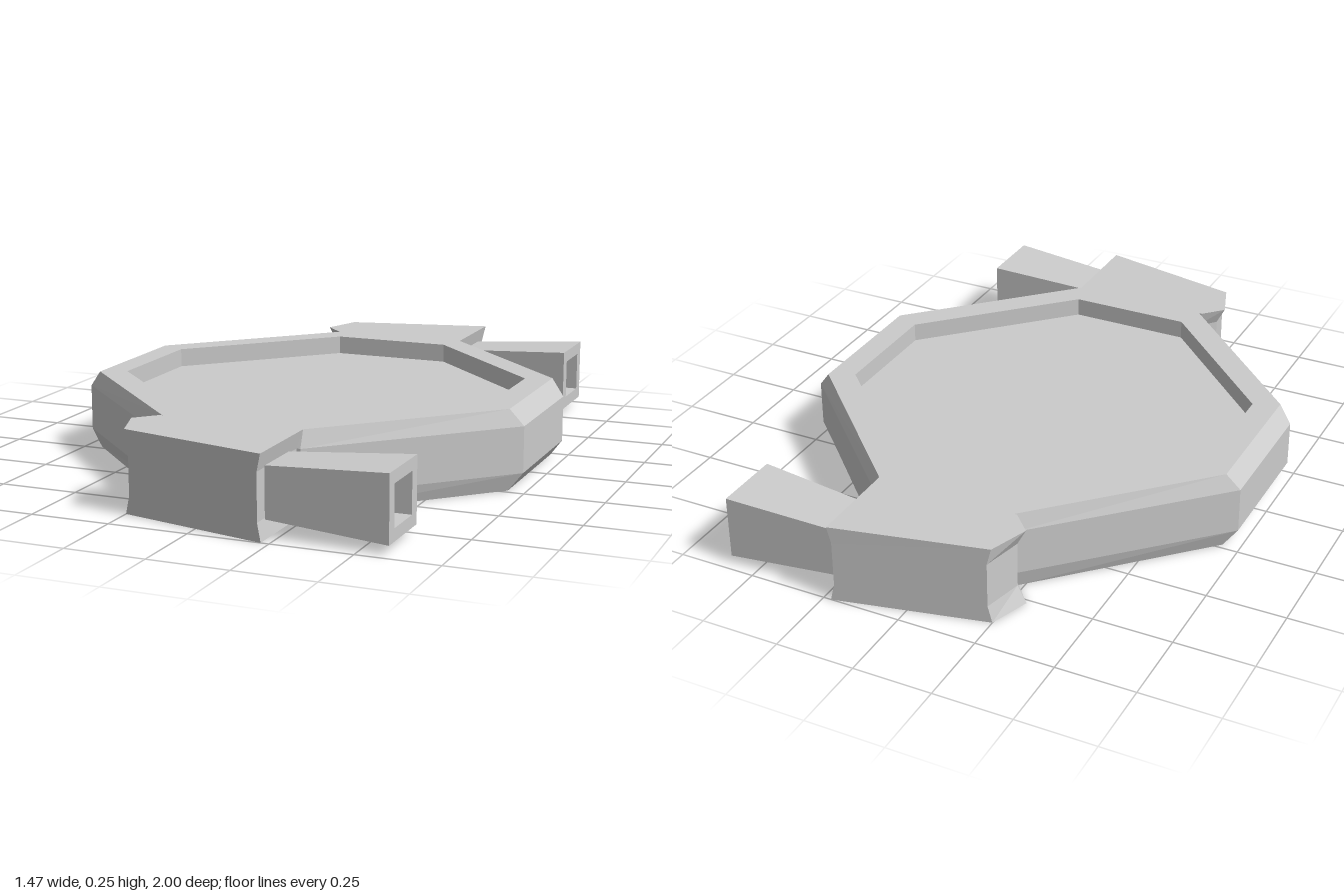
import * as THREE from 'three';

const material = new THREE.MeshStandardMaterial({ color: 0xcccccc, flatShading: true });

// Joins equal-sized rings of [x, y, z] points into a solid capped at both ends.
function loft(name, rings) {
  const pos = [];
  const tri = (a, b, c) => pos.push(...a, ...b, ...c);
  const n = rings[0].length;
  for (let k = 0; k < rings.length - 1; k++) {
    for (let i = 0; i < n; i++) {
      const j = (i + 1) % n;
      const [r, s] = [rings[k], rings[k + 1]];
      tri(r[i], r[j], s[j]);
      tri(r[i], s[j], s[i]);
    }
  }
  const first = rings[0], last = rings[rings.length - 1];
  for (let i = 1; i < n - 1; i++) {
    tri(first[0], first[i + 1], first[i]);
    tri(last[0], last[i], last[i + 1]);
  }
  const geometry = new THREE.BufferGeometry();
  geometry.setAttribute('position', new THREE.Float32BufferAttribute(pos, 3));
  geometry.computeVertexNormals();
  const mesh = new THREE.Mesh(geometry, material);
  mesh.name = name;
  return mesh;
}

// Octagon ring: long reach along x and z, with the half width of its end sides.
const octagon = (y, rx, wz, rz, wx) => [
  [rx, wz], [rx, -wz], [wx, -rz], [-wx, -rz],
  [-rx, -wz], [-rx, wz], [-wx, rz], [wx, rz],
].map(([x, z]) => [x, y, z]);

// Square section across the x axis.
const square = (x, halfY, halfZ, z) => [[1, -1], [1, 1], [-1, 1], [-1, -1]]
  .map(([a, b]) => [x, 0.128 + a * halfY, z + b * halfZ]);

export function createModel() {
  const model = new THREE.Group();

  // Octagonal plate: chamfered rim, recessed on top and underneath
  const inner = [0.615, 0.195, 0.615, 0.195];
  const edge = [0.695, 0.232, 0.702, 0.225];
  const belt = [0.737, 0.217, 0.722, 0.225];
  model.add(loft('plate', [
    octagon(0.06, ...inner), octagon(0, ...inner),
    octagon(0, ...edge), octagon(0.055, ...belt),
    octagon(0.2, ...belt), octagon(0.253, ...edge),
    octagon(0.253, ...inner), octagon(0.193, ...inner),
  ]));

  // Block outlines: the ends are pinched at mid height
  const blockEdge = [[0.225, 1], [0.225, 0.702], [-0.235, 0.702], [-0.295, 0.765], [-0.25, 0.893]];
  const blockWaist = [[0.213, 0.997], [0.213, 0.702], [-0.215, 0.702], [-0.267, 0.765], [-0.237, 0.896]];

  for (const side of [1, -1]) {
    const prefix = side > 0 ? 'front' : 'back';
    const outline = (y, points) => {
      const ring = points.map(([x, z]) => [x, y, side * z]);
      return side > 0 ? ring : ring.reverse();
    };
    model.add(loft(prefix + 'Block', [
      outline(0, blockEdge), outline(0.055, blockWaist),
      outline(0.2, blockWaist), outline(0.253, blockEdge),
    ]));

    // Flared square nozzle with a blind hole in its end
    const z = side * 0.862;
    model.add(loft(prefix + 'Nozzle', [
      square(0.19, 0.076, 0.081, z), square(0.59, 0.101, 0.109, z),
      square(0.59, 0.063, 0.07, z), square(0.45, 0.063, 0.07, z),
    ]));
  }
  return model;
}
